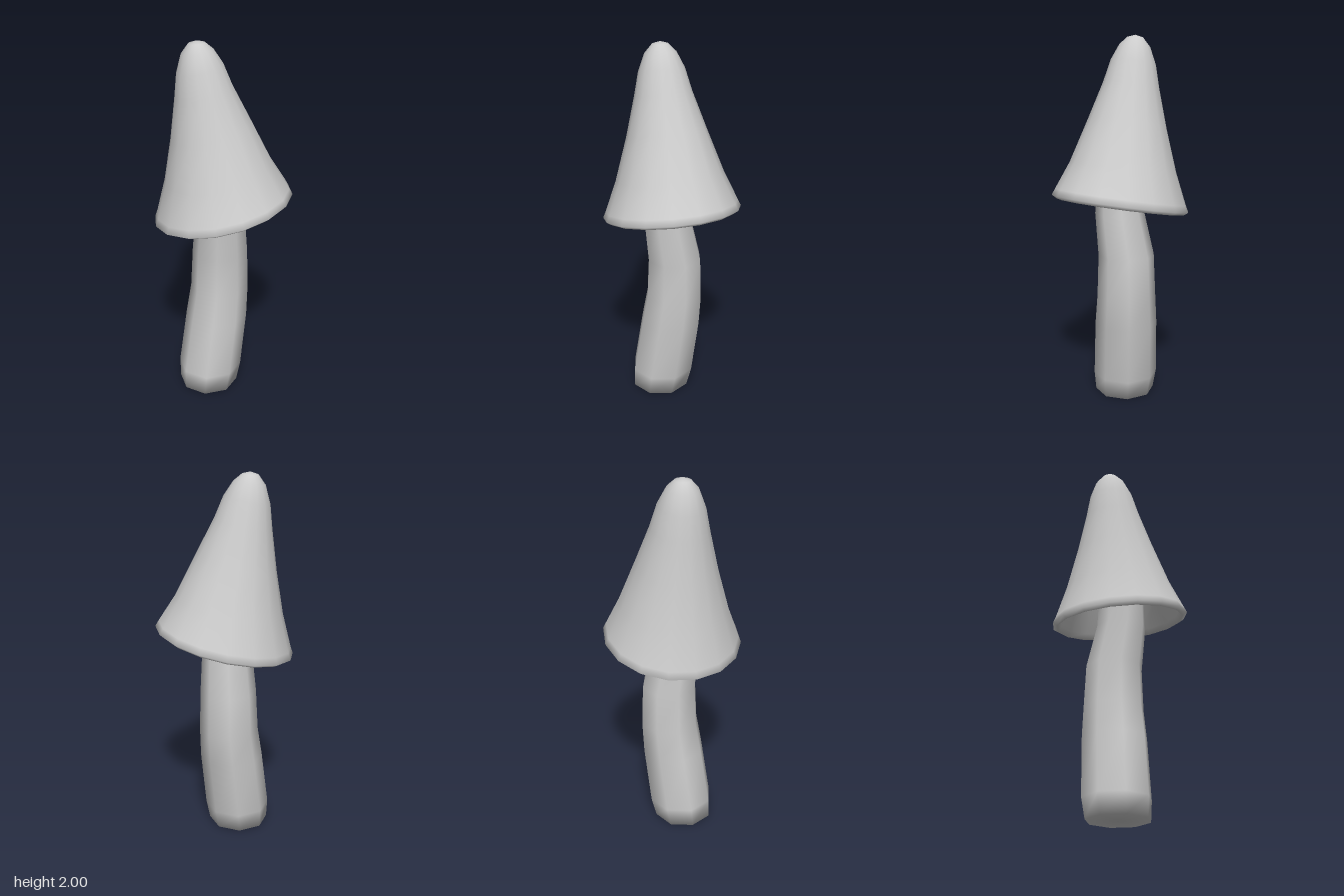
import * as THREE from 'three';
import { mergeVertices } from 'three/addons/utils/BufferGeometryUtils.js';

// Smooth skin through rings given as [x, y, z, radius, slope along x, slope along z]
function loft(rings, sides) {
  const pos = [], index = [];
  for (const [x, y, z, r, sx = 0, sz = 0] of rings) {
    for (let j = 0; j < sides; j++) {
      const t = (j / sides) * Math.PI * 2;
      const dx = r * Math.cos(t), dz = r * Math.sin(t);
      pos.push(x + dx, y + sx * dx + sz * dz, z + dz);
    }
  }
  for (let i = 0; i < rings.length - 1; i++) {
    for (let j = 0; j < sides; j++) {
      const k = (j + 1) % sides;
      const a = i * sides + j, b = i * sides + k, c = a + sides, d = b + sides;
      // skip the collapsed triangle at a pole
      if (rings[i][3] > 0) index.push(a, c, b);
      if (rings[i + 1][3] > 0) index.push(b, c, d);
    }
  }
  let geo = new THREE.BufferGeometry();
  geo.setAttribute('position', new THREE.Float32BufferAttribute(pos, 3));
  geo.setIndex(index);
  geo = mergeVertices(geo);
  geo.computeVertexNormals();
  return geo;
}

export function createModel() {
  const group = new THREE.Group();
  const material = new THREE.MeshStandardMaterial({ color: 0xcccccc });
  const add = (name, geo) => {
    const mesh = new THREE.Mesh(geo, material);
    mesh.name = name;
    group.add(mesh);
  };

  // Bent stem, closed at the foot and ending inside the cap
  add('stem', loft([
    [-0.03, 0, 0.085, 0],
    [-0.03, 0, 0.085, 0.165],
    [-0.033, 0.11, 0.07, 0.178],
    [-0.032, 0.43, 0.022, 0.172],
    [-0.032, 0.6, 0, 0.161],
    [-0.03, 0.83, -0.003, 0.152],
    [0.003, 1.06, 0.022, 0.134],
    [0.0, 1.28, 0.045, 0.125],
    [-0.025, 1.48, 0.06, 0.12],
    [-0.025, 1.48, 0.06, 0],
  ], 8));

  // Hollow leaning cap: inner lining, rolled rim, outer skin, rounded tip
  add('cap', loft([
    [-0.06, 1.72, 0.07, 0],
    [-0.055, 1.66, 0.062, 0.12, 0.13, -0.14],
    [-0.038, 1.5, 0.045, 0.19, 0.15, -0.16],
    [-0.018, 1.28, 0.02, 0.27, 0.15, -0.16],
    [-0.003, 1.13, 0.003, 0.325, 0.15, -0.16],
    [0, 1.098, 0, 0.345, 0.15, -0.16],
    [0, 1.115, 0, 0.37, 0.15, -0.16],
    [-0.002, 1.15, 0.002, 0.354, 0.15, -0.16],
    [-0.016, 1.31, 0.018, 0.287, 0.12, -0.14],
    [-0.042, 1.54, 0.047, 0.21, 0.16, -0.18],
    [-0.063, 1.74, 0.073, 0.15, 0.13, -0.15],
    [-0.075, 1.86, 0.086, 0.12, 0.13, -0.14],
    [-0.083, 1.945, 0.095, 0.082, 0.1, -0.1],
    [-0.085, 1.988, 0.097, 0.042, 0.04, -0.04],
    [-0.085, 2.0, 0.097, 0],
  ], 16));

  return group;
}
